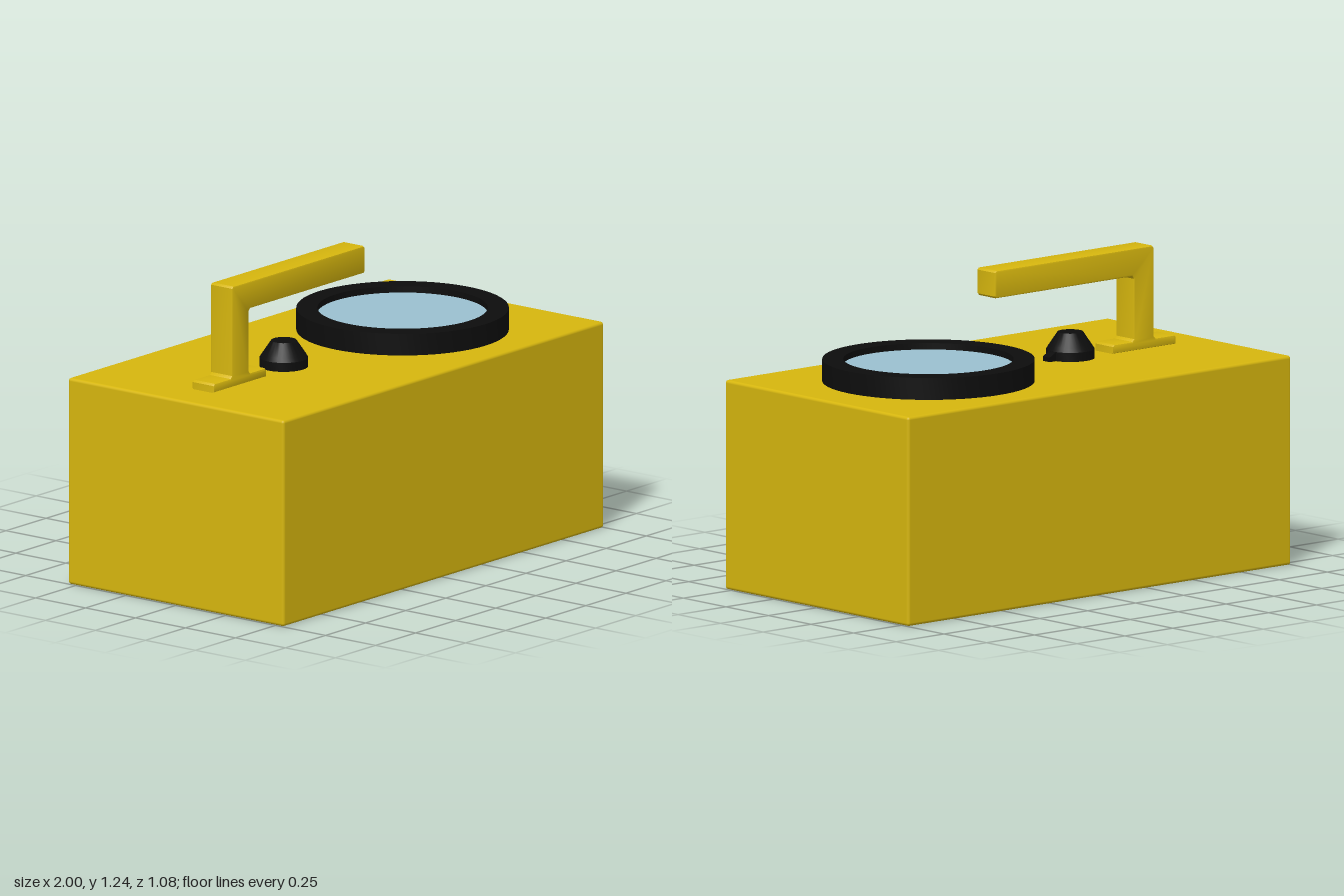
import * as THREE from 'three';
import { RoundedBoxGeometry } from 'three/addons/geometries/RoundedBoxGeometry.js';
import { toCreasedNormals } from 'three/addons/utils/BufferGeometryUtils.js';

const material = (name, color) => {
  const m = new THREE.MeshStandardMaterial({ color });
  m.name = name;
  return m;
};

export function createModel() {
  const yellow = material('yellow', 0xd6b60e);
  const black = material('black', 0x0d0d0d);
  const paleBlue = material('pale blue', 0x9ac0d0);

  const model = new THREE.Group();
  const add = (name, geometry, mat, x = 0, y = 0, z = 0) => {
    const mesh = new THREE.Mesh(geometry, mat);
    mesh.name = name;
    mesh.position.set(x, y, z);
    model.add(mesh);
    return mesh;
  };
  const lathe = (points, sides) => toCreasedNormals(
    new THREE.LatheGeometry(points.map(([r, y]) => new THREE.Vector2(r, y)), sides), 0.5);

  // Extrudes an x-y outline, centred on z, with a small bevel inside the outline
  const slab = (points, width, bevel) => {
    const shape = new THREE.Shape(points.map(([x, y]) => new THREE.Vector2(x, y)));
    const geometry = new THREE.ExtrudeGeometry(shape, {
      depth: width - 2 * bevel, bevelEnabled: bevel > 0, bevelThickness: bevel,
      bevelSize: bevel, bevelOffset: -bevel, bevelSegments: 2,
    });
    geometry.translate(0, 0, bevel - width / 2);
    return toCreasedNormals(geometry, 0.6);
  };

  const top = 0.83;

  // Body
  add('body', new RoundedBoxGeometry(2, top, 1.08, 3, 0.012), yellow, 0, top / 2, 0);

  // Lens rim and recessed glass
  add('lensRim', lathe([[0.415, 0], [0.415, 0.087], [0.333, 0.087], [0.333, 0]], 64), black, 0.415, top, 0);
  const glass = add('lensGlass', new THREE.CircleGeometry(0.333, 64), paleBlue, 0.415, top + 0.062, 0);
  glass.rotation.x = -Math.PI / 2;

  // Handle: foot, post and cantilevered grip in one outline
  add('handle', slab([
    [-0.83, top], [-0.5, top], [-0.5, 0.858], [-0.508, 0.866], [-0.6, 0.866], [-0.61, 0.876],
    [-0.61, 1.115], [-0.6, 1.125], [0.107, 1.125], [0.115, 1.133], [0.115, 1.227], [0.107, 1.235],
    [-0.707, 1.235], [-0.715, 1.227], [-0.715, 0.876], [-0.725, 0.866], [-0.822, 0.866], [-0.83, 0.858],
  ], 0.11, 0.008), yellow);

  // Control knob with its pointer
  add('knob', lathe([
    [0.095, 0], [0.095, 0.036], [0.085, 0.052], [0.05, 0.104], [0, 0.104],
  ], 32), black, -0.325, top, 0);
  add('knobPointer', slab([
    [0, 0], [0.125, 0], [0.125, 0.018], [0.09, 0.037], [0, 0.037],
  ], 0.04, 0), black, -0.325, top, 0);

  return model;
}
